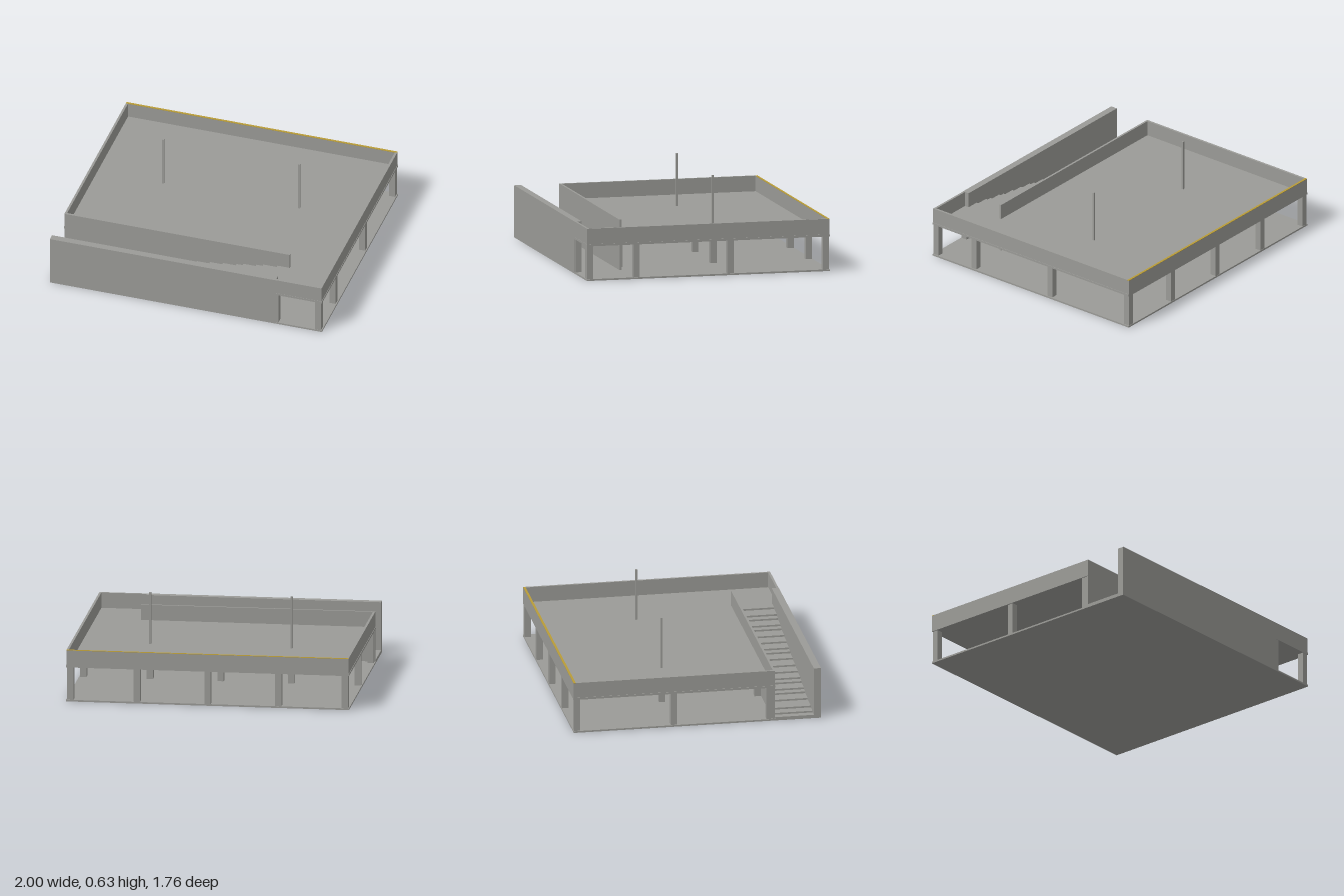
import * as THREE from 'three';

export function createModel() {
  const model = new THREE.Group();
  model.name = 'parkingDeck';

  const concrete = new THREE.MeshStandardMaterial({ color: 0x9b9b97 });
  concrete.name = 'concrete grey';
  const gold = new THREE.MeshStandardMaterial({ color: 0xb89c38 });
  gold.name = 'ochre trim';

  // Axis-aligned block given by its limits
  function block(name, [x0, x1], [y0, y1], [z0, z1], material = concrete, parent = model) {
    const mesh = new THREE.Mesh(new THREE.BoxGeometry(x1 - x0, y1 - y0, z1 - z0), material);
    mesh.position.set((x0 + x1) / 2, (y0 + y1) / 2, (z0 + z1) / 2);
    mesh.name = name;
    parent.add(mesh);
    return mesh;
  }

  const floorTop = 0.012, soffit = 0.245, deck = 0.26, top = 0.37;
  const rampEnd = 0.66;

  // Ground slab and upper deck, which leaves the ramp bay open
  block('groundSlab', [-1, 1], [0, floorTop], [-0.88, 0.88]);
  block('upperDeck', [-1, 1], [soffit, deck], [-0.88, 0.555]);
  block('upperDeckFront', [rampEnd, 1], [soffit, deck], [0.555, 0.88]);

  // Parapets around the deck
  block('parapetBack', [-0.997, 0.997], [0.25, 0.367], [-0.88, -0.864]);
  block('parapetTrim', [-0.997, 0.997], [0.367, top], [-0.88, -0.864], gold);
  block('parapetLeft', [0.981, 0.997], [0.25, top], [-0.864, 0.878]);
  block('parapetRight', [-0.997, -0.981], [0.25, top], [-0.864, 0.54]);
  block('parapetFront', [rampEnd, 0.981], [0.25, top], [0.862, 0.878]);

  // Walls on both sides of the ramp
  block('outerRampWall', [-1, rampEnd], [0, top], [0.83, 0.88]);
  block('innerRampWall', [-0.997, rampEnd], [floorTop, top], [0.54, 0.555]);

  // Ramp of shallow steps rising toward +x
  const ramp = new THREE.Group();
  ramp.name = 'ramp';
  model.add(ramp);
  const edges = [-1, -0.95, -0.88, -0.755, -0.655, -0.605, -0.51, -0.46, -0.365, -0.27, -0.165,
    -0.07, -0.02, 0.075, 0.17, 0.27, 0.32, 0.415, 0.465, 0.57, rampEnd];
  const steps = edges.length - 1;
  for (let i = 0; i < steps; i++) {
    const y = floorTop + (deck - floorTop) * (i + 1) / steps;
    block('rampStep', [edges[i], edges[i + 1]], [y - 0.016, y], [0.555, 0.83], concrete, ramp);
  }

  // Column grid
  const columns = new THREE.Group();
  columns.name = 'columns';
  model.add(columns);
  const half = 0.0225;
  function column(x, z) {
    block('column', [x - half, x + half], [floorTop, soffit], [z - half, z + half], concrete, columns);
  }
  for (const z of [-0.855, -0.165, 0.517]) {
    for (const x of [-0.97, -0.5, 0, 0.5, 0.97]) column(x, z);
  }
  column(0.97, 0.855);
  column(0.657, 0.855);

  // Lamp posts on the deck
  for (const x of [-0.5, 0.5]) {
    block('lampPost', [x - 0.007, x + 0.007], [deck, 0.633], [-0.172, -0.158]);
  }

  return model;
}
